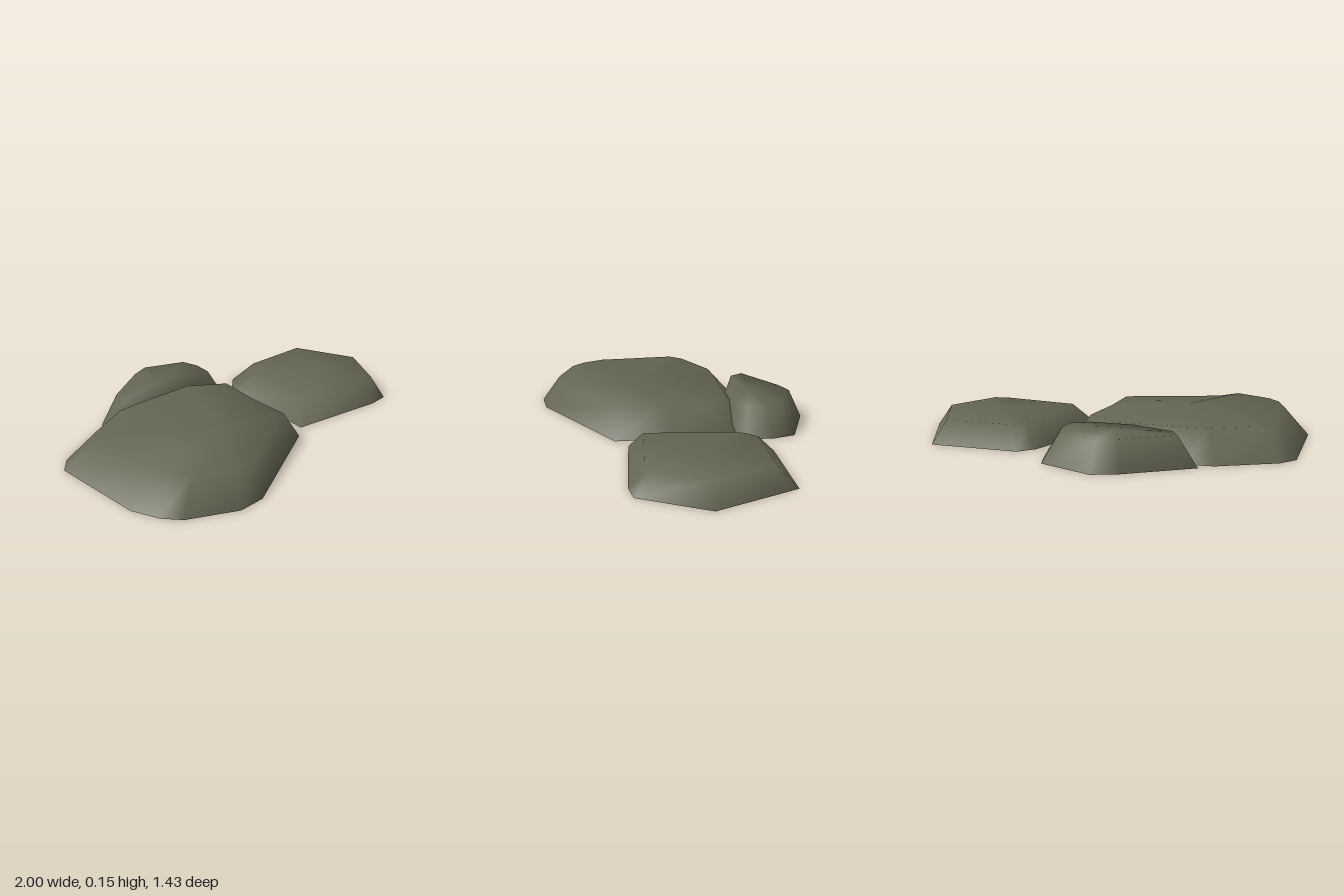
import * as THREE from 'three';

const stone = new THREE.MeshStandardMaterial({ color: 0x656553 });
stone.name = 'mossy grey stone';

// Slab with sloped sides: the ground outline [x, z, top drop] is shrunk towards a centre to make the top.
function slab(name, outline, [cx, cz], shrink, height) {
  const n = outline.length;
  const pos = [];
  const index = [];
  for (const [x, z] of outline) pos.push(x, 0, z);
  for (const [x, z, drop = 0] of outline) {
    pos.push(cx + (x - cx) * shrink, height - drop, cz + (z - cz) * shrink);
  }
  pos.push(cx, height, cz);
  // separate underside ring keeps the base edge sharp
  for (const [x, z] of outline) pos.push(x, 0, z);
  pos.push(cx, 0, cz);
  const topMid = 2 * n, under = 2 * n + 1, underMid = 3 * n + 1;
  for (let i = 0; i < n; i++) {
    const j = (i + 1) % n;
    index.push(topMid, n + j, n + i); // top
    index.push(i, n + i, j, j, n + i, n + j); // side
    index.push(underMid, under + i, under + j); // underside
  }
  const geometry = new THREE.BufferGeometry();
  geometry.setAttribute('position', new THREE.Float32BufferAttribute(pos, 3));
  geometry.setIndex(index);
  geometry.computeVertexNormals();
  const mesh = new THREE.Mesh(geometry, stone);
  mesh.name = name;
  return mesh;
}

export function createModel() {
  const group = new THREE.Group();
  group.name = 'steppingStones';

  // Outlines run clockwise seen from above
  group.add(slab('largeStone', [
    [-1, -0.095], [-0.94, -0.185], [-0.67, -0.36], [-0.54, -0.385], [-0.1, -0.43],
    [0.135, -0.305], [0.125, 0], [0.145, 0.3], [-0.4, 0.69, 0.02], [-0.54, 0.715],
    [-0.79, 0.63], [-0.87, 0.555], [-0.94, 0.42],
  ], [-0.32, 0.23], 0.795, 0.15));

  group.add(slab('backStone', [
    [-0.61, -0.42], [-0.31, -0.66], [-0.19, -0.72], [0.1, -0.64], [0.145, -0.52],
    [0.145, -0.38], [0.04, -0.31], [-0.25, -0.27], [-0.55, -0.335],
  ], [-0.2, -0.44], 0.75, 0.15));

  group.add(slab('sideStone', [
    [0.215, 0.23], [0.22, -0.33], [0.245, -0.42], [0.31, -0.5], [0.775, -0.55],
    [0.995, -0.145], [0.84, 0.21], [0.73, 0.235],
  ], [0.66, -0.1], 0.77, 0.11));

  return group;
}
